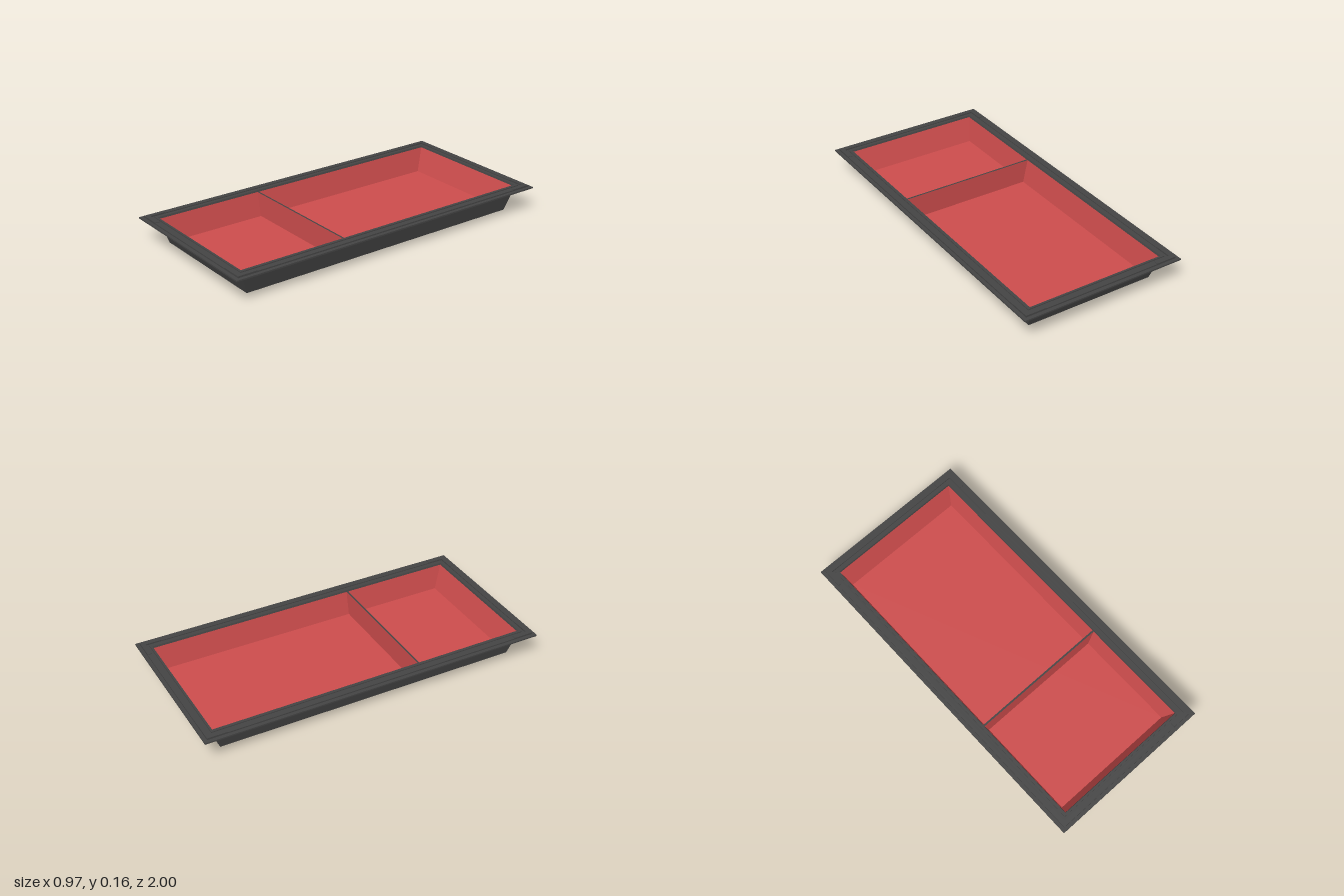
import * as THREE from 'three';

const darkGrey = new THREE.MeshStandardMaterial({ color: 0x444444 });
darkGrey.name = 'darkGrey';
const red = new THREE.MeshStandardMaterial({ color: 0xcc4c4c });
red.name = 'red';

const CORNERS = [[1, 1], [1, -1], [-1, -1], [-1, 1]];

// Skin a series of centred rectangles [halfX, halfZ, y]; rising order faces outwards.
function loft(rings, { capStart = false, capEnd = false } = {}) {
  const pos = [];
  const point = ([hx, hz, y], k) => {
    const [sx, sz] = CORNERS[k % 4];
    return [sx * hx, y, sz * hz];
  };
  const quad = (a, b, c, d) => pos.push(...a, ...b, ...c, ...a, ...c, ...d);
  for (let i = 0; i < rings.length - 1; i++) {
    for (let k = 0; k < 4; k++) {
      quad(point(rings[i], k), point(rings[i], k + 1), point(rings[i + 1], k + 1), point(rings[i + 1], k));
    }
  }
  if (capStart) quad(...[3, 2, 1, 0].map(k => point(rings[0], k)));
  if (capEnd) quad(...[0, 1, 2, 3].map(k => point(rings[rings.length - 1], k)));
  const geo = new THREE.BufferGeometry();
  geo.setAttribute('position', new THREE.Float32BufferAttribute(pos, 3));
  geo.computeVertexNormals();
  return geo;
}

function polygon(points) {
  return new THREE.Shape(points.map(([x, y]) => new THREE.Vector2(x, y)));
}

export function createModel() {
  const model = new THREE.Group();
  model.name = 'dividedTray';
  const add = (name, geo, material) => {
    const mesh = new THREE.Mesh(geo, material);
    mesh.name = name;
    model.add(mesh);
    return mesh;
  };

  // Tapered outer shell with a flat base
  add('outerShell', loft([[0.38, 0.88, 0], [0.41, 0.93, 0.137]], { capStart: true }), darkGrey);

  // Stepped rim: wide flange, outer ridge, groove, inner lip
  add('rim', loft([
    [0.41, 0.93, 0.137], [0.485, 1, 0.137], [0.485, 1, 0.145],
    [0.465, 0.98, 0.145], [0.465, 0.98, 0.152], [0.44, 0.955, 0.152],
    [0.44, 0.955, 0.147], [0.425, 0.94, 0.147], [0.425, 0.94, 0.152],
    [0.408, 0.928, 0.152], [0.405, 0.925, 0.142],
  ]), darkGrey);

  // Red lining: sloping walls and floor
  add('lining', loft([[0.405, 0.925, 0.142], [0.375, 0.875, 0.005]], { capEnd: true }), red);

  // Divider wall: red faces, dark edges
  const dividerGeo = new THREE.ExtrudeGeometry(
    polygon([[-0.375, 0.005], [0.375, 0.005], [0.405, 0.142], [-0.405, 0.142]]),
    { depth: 0.01, bevelEnabled: false });
  add('divider', dividerGeo, [red, darkGrey]).position.z = 0.28;

  // Raised L-shaped pads on the four rim corners
  for (const [sx, sz] of CORNERS) {
    const points = [[0.345, 0.98], [0.345, 0.955], [0.44, 0.955], [0.44, 0.865], [0.465, 0.865], [0.465, 0.98]]
      .map(([x, z]) => [sx * x, -sz * z]);
    const geo = new THREE.ExtrudeGeometry(polygon(points), { depth: 0.009, bevelEnabled: false });
    geo.rotateX(-Math.PI / 2);
    const side = sx > 0 ? 'Left' : 'Right';
    add((sz > 0 ? 'front' : 'back') + side + 'CornerPad', geo, darkGrey).position.y = 0.146;
  }

  return model;
}
